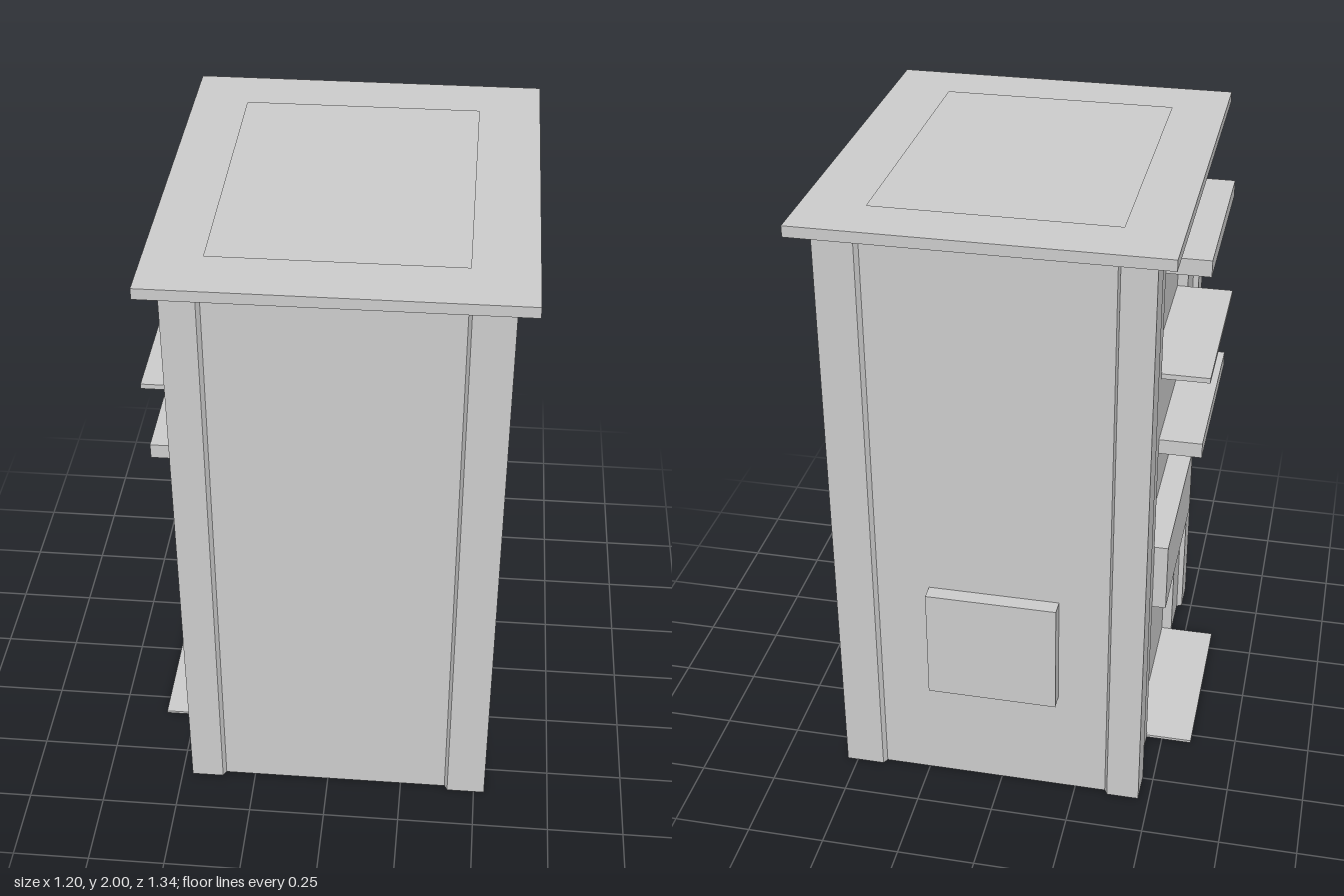
import * as THREE from 'three';

const material = new THREE.MeshStandardMaterial({ color: 0xcccccc, flatShading: true });

export function createModel() {
  const group = new THREE.Group();
  group.name = 'booth';

  function add(name, geometry) {
    const mesh = new THREE.Mesh(geometry, material);
    mesh.name = name;
    group.add(mesh);
  }

  // Box given by its limits on each axis
  function box(name, x0, x1, y0, y1, z0, z1) {
    const geometry = new THREE.BoxGeometry(x1 - x0, y1 - y0, z1 - z0);
    geometry.translate((x0 + x1) / 2, (y0 + y1) / 2, (z0 + z1) / 2);
    add(name, geometry);
  }

  // Floor plan of [x, z] corners raised from y0 to y1
  function raise(name, plan, y0, y1, hole) {
    const toShape = (points) => points.map(([x, z]) => new THREE.Vector2(x, -z));
    const shape = new THREE.Shape(toShape(plan));
    if (hole) shape.holes.push(new THREE.Path(toShape(hole)));
    const geometry = new THREE.ExtrudeGeometry(shape, { depth: y1 - y0, bevelEnabled: false });
    geometry.rotateX(-Math.PI / 2);
    geometry.translate(0, y0, 0);
    add(name, geometry);
  }

  const rectangle = (x0, x1, z0, z1) => [[x0, z0], [x1, z0], [x1, z1], [x0, z1]];

  // Body limits, panel inset, and doorway on the -x side
  const x0 = -0.465, x1 = 0.535, z0 = -0.602, z1 = 0.605;
  const inset = 0.018;
  const doorZ0 = -0.29, doorZ1 = 0.327, doorX = x0 + inset + 0.035;

  // Plan with corner posts whose inner sides slant to the inset panels
  function bodyPlan(withDoor) {
    const side = x0 + inset;
    const door = withDoor
      ? [[side, doorZ1], [doorX, doorZ1], [doorX, doorZ0], [side, doorZ0]]
      : [];
    return [
      [x0, z0], [-0.36, z0], [-0.35, z0 + inset], [0.40, z0 + inset], [0.41, z0],
      [x1, z0], [x1, -0.492], [x1 - inset, -0.482], [x1 - inset, 0.485], [x1, 0.495],
      [x1, z1], [0.41, z1], [0.40, z1 - inset], [-0.35, z1 - inset], [-0.36, z1],
      [x0, z1], [x0, 0.495], [side, 0.485], ...door, [side, -0.482], [x0, -0.492],
    ];
  }

  // Body in storeys: doorway, wall band, window opening, top band
  raise('bodyDoorway', bodyPlan(true), 0, 1.18);
  raise('bodyMiddleBand', bodyPlan(false), 1.18, 1.425);
  raise('bodyWindow', bodyPlan(true), 1.425, 1.80);
  raise('bodyTopBand', bodyPlan(false), 1.80, 1.965);

  // Roof slab with a sunken centre
  raise('roof', rectangle(-0.525, 0.595, -0.67, 0.67), 1.965, 2,
    rectangle(-0.35, 0.40, -0.485, 0.482));

  // Canopies, counter, sign board and step on the -x side
  box('windowCanopy', -0.583, doorX, 1.775, 1.828, doorZ0, doorZ1);
  box('counter', -0.597, doorX, 1.42, 1.437, doorZ0, doorZ1);
  box('doorCanopy', -0.583, doorX, 1.153, 1.203, doorZ0, doorZ1);
  box('sideBoard', -0.492, doorX, 0.56, 0.797, doorZ0, doorZ1);
  box('step', -0.6, doorX, 0, 0.009, doorZ0, doorZ1);

  // Raised board on the back
  box('backBoard', -0.19, 0.23, 0.37, 0.748, -0.635, z0 + inset + 0.01);

  return group;
}
